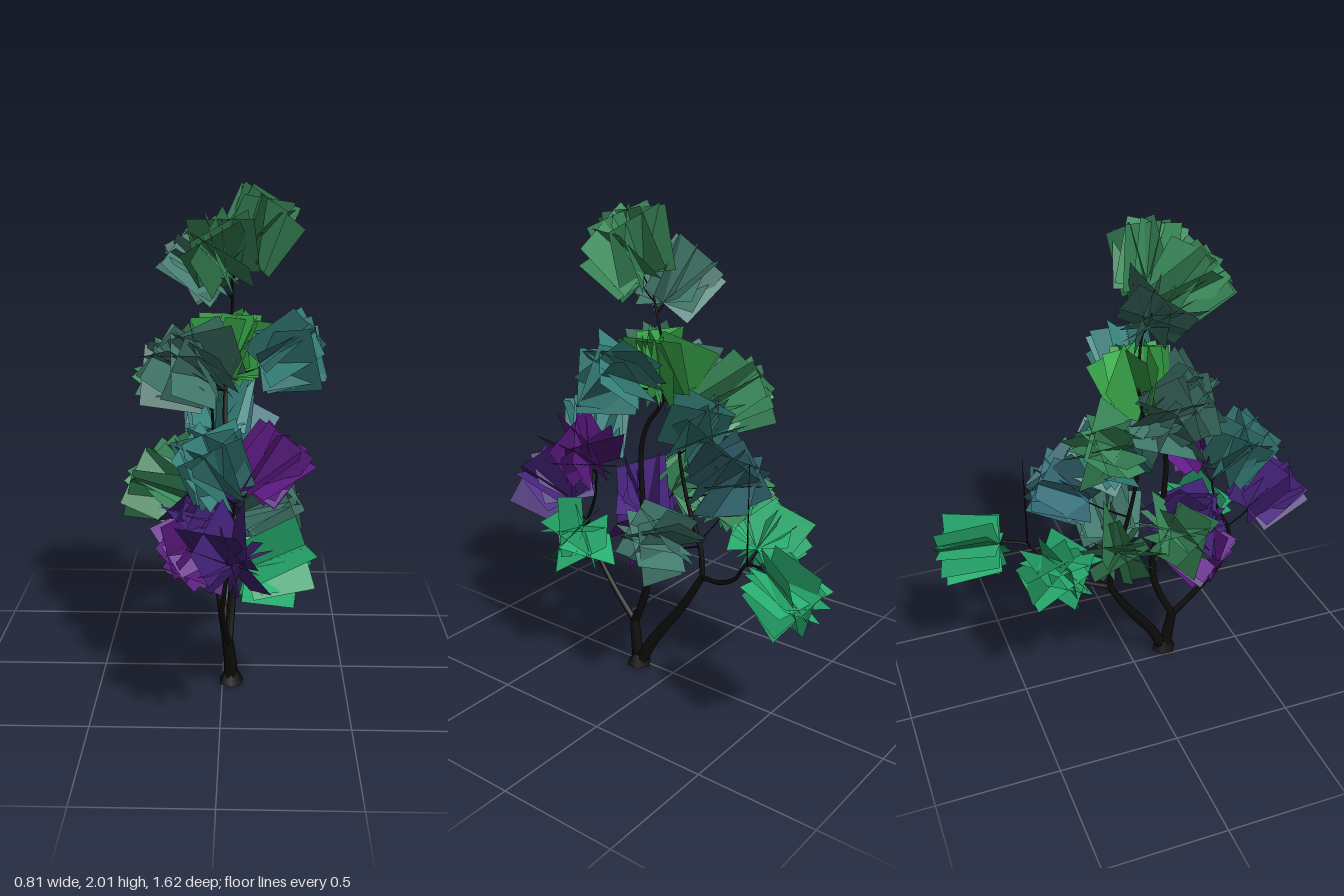
import * as THREE from 'three';
import { mergeGeometries } from 'three/addons/utils/BufferGeometryUtils.js';

const V = (p) => new THREE.Vector3(...p);

// small seeded generator, returns -1..1
let seed = 7;
const rand = () => {
  seed = (seed * 16807) % 2147483647;
  return (seed / 2147483647) * 2 - 1;
};

// tapered tube along a smooth curve
function limb(points, r0, r1, sides = 6) {
  const curve = new THREE.CatmullRomCurve3(points.map(V));
  const n = points.length * 4;
  const geo = new THREE.TubeGeometry(curve, n, 1, sides);
  const pos = geo.attributes.position;
  const v = new THREE.Vector3();
  for (let i = 0; i <= n; i++) {
    const c = curve.getPointAt(i / n);
    const r = r0 + (r1 - r0) * (i / n);
    for (let j = 0; j <= sides; j++) {
      const k = i * (sides + 1) + j;
      v.fromBufferAttribute(pos, k).sub(c).multiplyScalar(r).add(c);
      pos.setXYZ(k, v.x, v.y, v.z);
    }
  }
  return geo;
}

// square leaf cards fanned around the axis of a twig
function leafCards(centre, dir, size, count, phase) {
  const turn = new THREE.Quaternion().setFromUnitVectors(new THREE.Vector3(0, 1, 0), dir);
  const root = centre.clone().addScaledVector(dir, -size / 2);
  const cards = [];
  for (let i = 0; i < count; i++) {
    const card = new THREE.PlaneGeometry(size, size);
    card.translate(0, size / 2, 0);
    card.rotateY(phase + (i / count) * Math.PI + rand() * 0.2);
    card.rotateX(rand() * 0.36);
    card.rotateZ(rand() * 0.36);
    card.applyQuaternion(turn);
    card.translate(root.x, root.y, root.z);
    cards.push(card);
  }
  return mergeGeometries(cards);
}

const GREEN = 0x3a8a5a, EMERALD = 0x26a86c, SLATE = 0x3f7468, TEAL = 0x357d78;
const LIME = 0x37a548, PURPLE = 0x5a1880, INDIGO = 0x45237a, BLUE = 0x356a74;

// limbs: [name, path, start radius, end radius]
const LIMBS = [
  ['frontTrunk', [[0.035, 0, 0.16], [0.032, 0.1, 0.175], [0.025, 0.2, 0.19]], 0.028, 0.02],
  ['frontBranch', [[0.025, 0.19, 0.19], [0.015, 0.3, 0.3], [0.005, 0.42, 0.4], [0.015, 0.53, 0.45], [0.03, 0.62, 0.44]], 0.015, 0.007],
  ['frontUpperBranch', [[0.03, 0.61, 0.44], [0.04, 0.72, 0.39], [0.05, 0.85, 0.365]], 0.007, 0.004],
  ['middleBranch', [[0.025, 0.19, 0.19], [0.035, 0.32, 0.13], [0.042, 0.45, 0.1], [0.03, 0.7, 0.13], [0.02, 1.0, 0.145],
    [0.01, 1.1, 0.12], [0.01, 1.2, 0.05], [0.02, 1.42, 0.03], [0.035, 1.52, 0.04], [0.035, 1.65, 0.07]], 0.018, 0.004],
  ['backTrunk', [[0.04, 0, 0.155], [0.022, 0.13, 0.09], [-0.015, 0.32, -0.04], [-0.035, 0.48, -0.13]], 0.028, 0.014],
  ['innerBackBranch', [[-0.035, 0.47, -0.125], [-0.045, 0.58, -0.11], [-0.04, 0.8, -0.04], [-0.04, 1.0, 0.0], [-0.05, 1.25, 0.01]], 0.012, 0.004],
  ['outerBackBranch', [[-0.035, 0.47, -0.125], [0.01, 0.5, -0.24], [0.06, 0.57, -0.35], [0.1, 0.67, -0.43], [0.13, 0.69, -0.53]], 0.012, 0.005],
  ['backTwig', [[0.1, 0.67, -0.43], [0.1, 0.87, -0.43], [0.1, 1.08, -0.43]], 0.004, 0.001],
];

// clusters: [centre, twig start, colour]
const CLUSTERS = [
  // crown
  [[0.13, 1.83, 0.09], [0.035, 1.63, 0.065], GREEN],
  [[-0.08, 1.69, 0.04], [0.035, 1.56, 0.05], SLATE],
  [[0.0, 1.75, 0.22], [0.035, 1.6, 0.055], GREEN],
  // upper tier
  [[0.25, 1.36, 0.08], [0.01, 1.25, 0.04], TEAL],
  [[0.04, 1.37, 0.02], [0.01, 1.2, 0.05], LIME],
  [[-0.19, 1.27, 0.06], [0.0, 1.2, 0.05], SLATE],
  [[-0.08, 1.34, 0.15], [0.0, 1.2, 0.05], SLATE],
  [[-0.19, 1.23, -0.17], [-0.04, 1.1, 0.0], GREEN],
  // rear of the middle tier
  [[-0.02, 1.11, -0.12], [-0.04, 0.98, 0.0], TEAL],
  [[0.04, 0.95, -0.29], [-0.04, 0.8, -0.04], BLUE],
  [[-0.24, 0.82, 0.09], [0.03, 0.68, 0.13], GREEN],
  [[-0.22, 0.79, -0.16], [-0.045, 0.62, -0.1], GREEN],
  [[0.18, 0.69, -0.07], [-0.045, 0.6, -0.1], SLATE],
  // front and centre
  [[-0.04, 1.0, 0.46], [0.05, 0.84, 0.37], TEAL],
  [[0.18, 0.98, 0.32], [0.05, 0.84, 0.365], PURPLE],
  [[0.03, 0.75, 0.63], [0.03, 0.6, 0.45], INDIGO],
  [[0.2, 0.61, 0.35], [0.03, 0.6, 0.445], EMERALD],
  [[-0.09, 0.6, 0.22], [0.03, 0.72, 0.13], PURPLE],
  [[-0.07, 0.76, 0.19], [0.03, 0.68, 0.125], INDIGO],
  // far back
  [[-0.13, 0.7, -0.37], [0.1, 0.67, -0.43], EMERALD],
  [[0.17, 0.645, -0.65], [0.13, 0.68, -0.53], EMERALD],
];

export function createModel() {
  const tree = new THREE.Group();
  tree.name = 'tree';
  const bark = new THREE.MeshStandardMaterial({ color: 0x0e0d0c });
  const add = (name, geo, mat, parent = tree) => {
    const mesh = new THREE.Mesh(geo, mat);
    mesh.name = name;
    parent.add(mesh);
  };

  // flared foot
  const foot = new THREE.CylinderGeometry(0.027, 0.054, 0.05, 6);
  foot.translate(0.037, 0.025, 0.157);
  add('trunkFoot', foot, bark);

  for (const [name, path, r0, r1] of LIMBS) add(name, limb(path, r0, r1), bark);

  // twigs and their leaf clusters, in two alternating shades
  CLUSTERS.forEach(([c, s, color], i) => {
    const centre = V(c), start = V(s);
    const dir = centre.clone().sub(start).normalize();
    const mid = start.clone().lerp(centre, 0.5);
    mid.y -= 0.015;
    add('twig', limb([s, mid.toArray(), c], 0.004, 0.002, 4), bark);

    const cluster = new THREE.Group();
    cluster.name = 'leafCluster';
    [1.15, 0.85].forEach((shade, k) => {
      const mat = new THREE.MeshStandardMaterial({
        color: new THREE.Color(color).multiplyScalar(shade),
        side: THREE.DoubleSide,
      });
      add('leaves', leafCards(centre, dir, 0.245, 4, i * 0.7 + k * 0.39), mat, cluster);
    });
    tree.add(cluster);
  });

  return tree;
}
